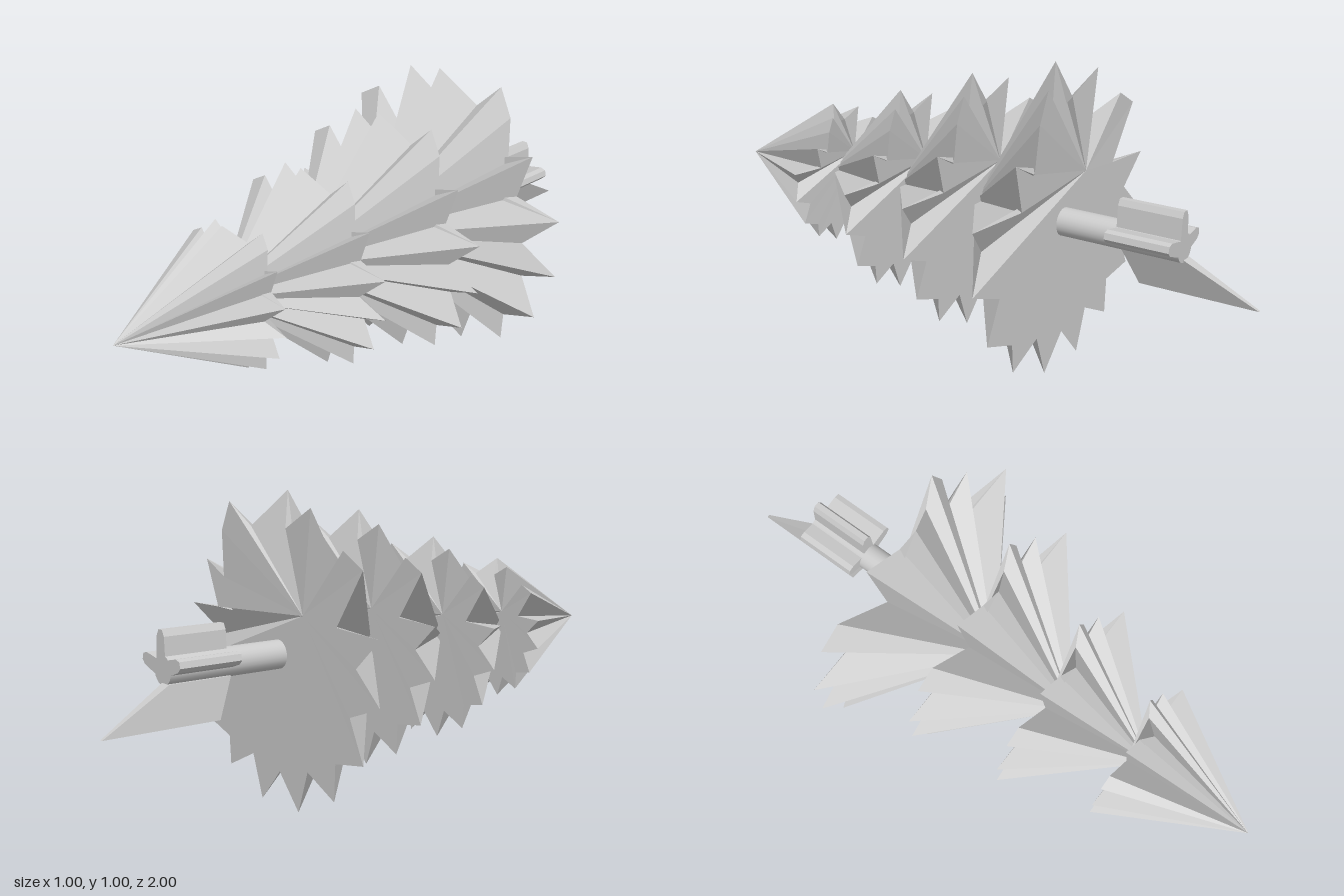
import * as THREE from 'three';
import { ConvexGeometry } from 'three/addons/geometries/ConvexGeometry.js';

const material = new THREE.MeshStandardMaterial({ color: 0xcccccc, flatShading: true, side: THREE.DoubleSide });
const smooth = new THREE.MeshStandardMaterial({ color: 0xcccccc });

// Deep notch between two upper boughs
const NOTCH = [-0.13, 0.125, -0.005];

// Jagged rim of a tier, counter-clockwise: a regular star below, bent boughs on top
function rimPoints() {
  const rim = [];
  for (let i = 0; i <= 18; i++) {
    const a = THREE.MathUtils.degToRad(168.75 + i * 11.25);
    const r = i % 2 ? 0.39 : 0.51;
    const x = r * Math.cos(a);
    rim.push([x, r * Math.sin(a), -0.003 + 0.018 * x]);
  }
  rim[5] = [-0.29, -0.304, -0.008];
  rim[13] = [0.29, -0.328, 0.002];
  rim[17][2] = 0.05; // one valley is dented forwards
  rim.push(
    [0.295, 0.11, -0.03], [0.345, 0.265, -0.038], [0.243, 0.215, -0.04],
    [0.235, 0.365, -0.05], [0.19, 0.46, -0.05], [0.115, 0.385, -0.02],
    [0, 0.5, 0.04], [-0.04, 0.385, 0], [-0.18, 0.455, -0.01],
    NOTCH,
    [-0.335, 0.34, -0.012], [-0.425, 0.29, -0.012], [-0.3, 0.11, -0.01]
  );
  return rim;
}

// Pointed front cone fanned from the apex, nearly flat back fanned from the notch
function tierGeometry(x, y, z, scale, zScale, apexZ) {
  const place = ([a, b, c]) => [x + a * scale, y + b * scale, z + c * zScale];
  const rim = rimPoints().map(place);
  const apex = [-0.027, 0.485, apexZ];
  const notch = place(NOTCH);
  const positions = [];
  rim.forEach((p, i) => {
    const q = rim[(i + 1) % rim.length];
    positions.push(...apex, ...p, ...q);
    const touchesNotch = [p, q].some((v) => v.every((n, k) => n === notch[k]));
    if (!touchesNotch) positions.push(...notch, ...q, ...p);
  });
  const geometry = new THREE.BufferGeometry();
  geometry.setAttribute('position', new THREE.Float32BufferAttribute(positions, 3));
  geometry.computeVertexNormals();
  return geometry;
}

export function createModel() {
  const model = new THREE.Group();
  const add = (name, geometry, mat = material, parent = model) => {
    const mesh = new THREE.Mesh(geometry, mat);
    mesh.name = name;
    parent.add(mesh);
    return mesh;
  };

  // Four tiers, from the tip backwards: x, y, z of rim, scale, depth scale, apex z
  [
    [-0.017, 0.487, 0.567, 0.485, 0.85, 1.0],
    [-0.01, 0.483, 0.262, 0.68, 0.85, 0.62],
    [0.015, 0.512, -0.047, 0.83, 0.85, 0.32],
    [0, 0.5, -0.35, 1, 1, 0.005],
  ].forEach((t, i) => add('tier' + (i + 1), tierGeometry(...t)));

  // Trunk
  const trunk = add('trunk', new THREE.CylinderGeometry(0.046, 0.046, 0.42, 24), smooth);
  trunk.rotation.x = Math.PI / 2;
  trunk.position.set(0, 0.49, -0.56);

  // Stand: three short blades around the trunk
  const stand = new THREE.Group();
  stand.name = 'stand';
  stand.position.set(0.008, 0.49, -0.663);
  model.add(stand);
  const section = new THREE.Shape();
  section.moveTo(0, -0.026);
  section.lineTo(0.09, -0.02);
  section.lineTo(0.107, -0.01);
  section.lineTo(0.107, 0.01);
  section.lineTo(0.09, 0.02);
  section.lineTo(0, 0.026);
  const bladeGeometry = new THREE.ExtrudeGeometry(section, { depth: 0.214, bevelEnabled: false });
  bladeGeometry.translate(0, 0, -0.107);
  [15, 90, 165].forEach((deg, i) => {
    const blade = add('standBlade' + (i + 1), bladeGeometry, material, stand);
    blade.rotation.z = THREE.MathUtils.degToRad(deg);
    if (deg === 90) blade.scale.x = 1.12;
  });

  // Long swept foot below the trunk
  const foot = [];
  for (const x of [-0.035, 0.005]) for (const z of [-0.555, -0.77]) foot.push(new THREE.Vector3(x, 0.452, z));
  for (const x of [-0.05, -0.04]) for (const z of [-0.605, -1]) foot.push(new THREE.Vector3(x, 0.325, z));
  add('sweptFoot', new ConvexGeometry(foot));

  return model;
}
